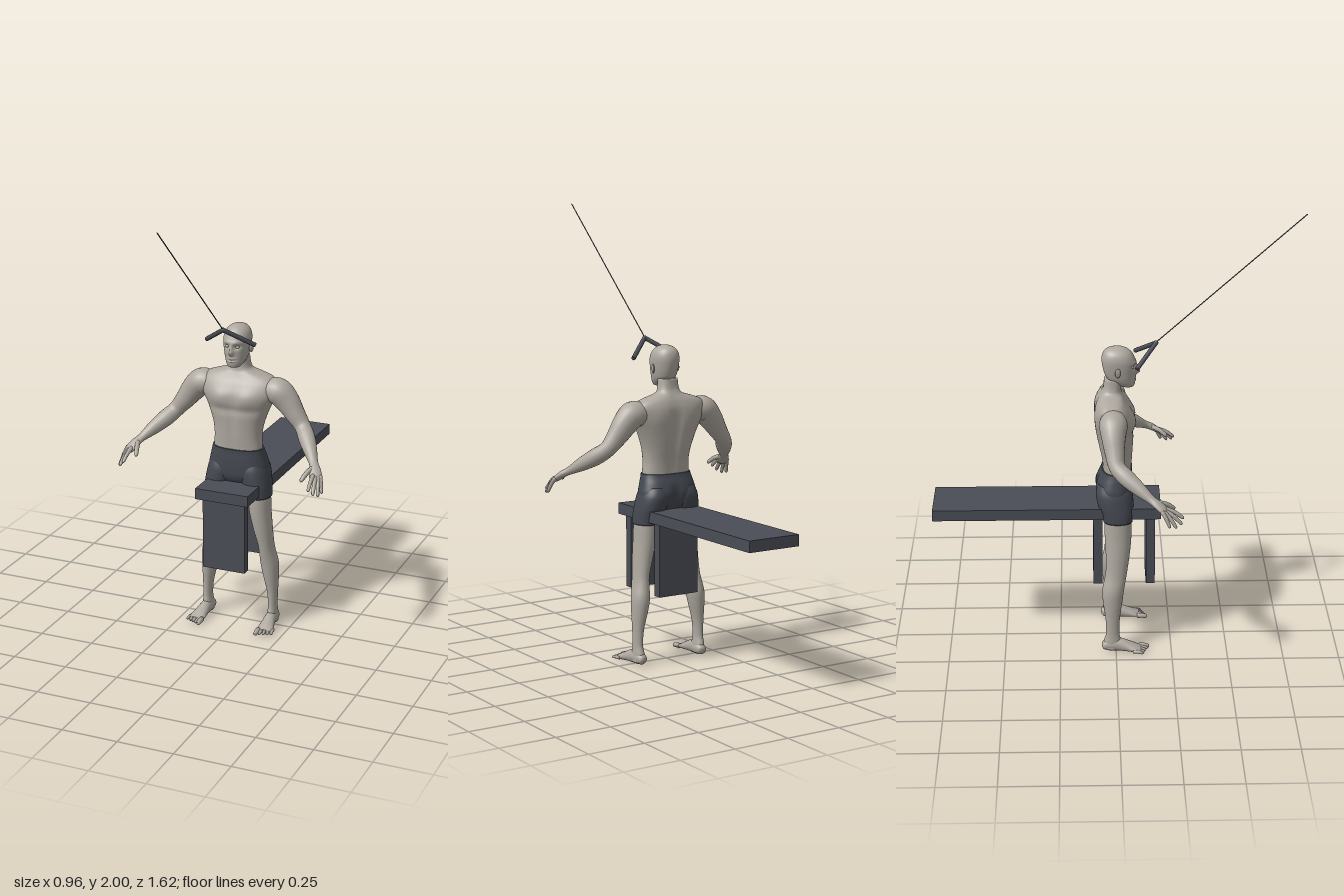
import * as THREE from 'three';

const mat = (name, color) => {
  const m = new THREE.MeshStandardMaterial({ color });
  m.name = name;
  return m;
};
const gauss = (d, w) => Math.exp(-(d * d) / (w * w));

// Smoothly resample rows of numbers, component by component
function resample(rows, steps) {
  const out = [];
  for (let i = 0; i < rows.length - 1; i++) {
    const [a, b, c, d] = [rows[Math.max(i - 1, 0)], rows[i], rows[i + 1], rows[Math.min(i + 2, rows.length - 1)]];
    for (let k = 0; k < steps; k++) {
      const t = k / steps;
      out.push(b.map((_, n) => 0.5 * (2 * b[n] + (c[n] - a[n]) * t
        + (2 * a[n] - 5 * b[n] + 4 * c[n] - d[n]) * t * t
        + (3 * b[n] - a[n] - 3 * c[n] + d[n]) * t * t * t)));
    }
  }
  out.push(rows[rows.length - 1].slice());
  return out;
}

// Closed skin over rings; side -1 mirrors in x, winding is turned outward
function loft(rings, side = 1) {
  const seg = rings[0].length, n = rings.length, pos = [], idx = [];
  const put = p => pos.push(p.x * side, p.y, p.z);
  rings.forEach(r => r.forEach(put));
  for (const r of [rings[0], rings[n - 1]])
    put(r.reduce((s, p) => s.add(p), new THREE.Vector3()).multiplyScalar(1 / seg));
  for (let j = 0; j < seg; j++) {
    const k = (j + 1) % seg;
    for (let i = 0; i < n - 1; i++) {
      const a = i * seg + j, b = i * seg + k;
      idx.push(a, a + seg, b, b, a + seg, b + seg);
    }
    idx.push(n * seg, j, k, n * seg + 1, (n - 1) * seg + k, (n - 1) * seg + j);
  }
  const v = i => new THREE.Vector3().fromArray(pos, i * 3);
  let vol = 0;
  for (let i = 0; i < idx.length; i += 3) vol += v(idx[i]).dot(v(idx[i + 1]).cross(v(idx[i + 2])));
  if (vol < 0) idx.reverse();
  const g = new THREE.BufferGeometry();
  g.setAttribute('position', new THREE.Float32BufferAttribute(pos, 3));
  g.setIndex(idx);
  g.computeVertexNormals();
  return g;
}

// Level rings: [y, centre x, half width, front z, back z], with an optional sculpting rule
function stack(rows, { side = 1, power = 2, seg = 32, steps = 5, sculpt } = {}) {
  const bend = c => Math.sign(c) * Math.abs(c) ** (2 / power);
  return loft(resample(rows, steps).map(([y, cx, w, f, b]) => Array.from({ length: seg }, (_, j) => {
    const a = j / seg * Math.PI * 2;
    const p = new THREE.Vector3(cx + w * bend(Math.cos(a)), y, (f + b) / 2 + (f - b) / 2 * bend(Math.sin(a)));
    if (sculpt) sculpt(p, Math.sin(a));
    return p;
  })), side);
}

// Rings square to a path: [x, y, z, radius across, radius up]
function limb(rows, side = 1, seg = 20, steps = 5) {
  const r = resample(rows, steps), at = i => new THREE.Vector3(...r[i].slice(0, 3));
  const up = new THREE.Vector3(0, 1, 0);
  return loft(r.map((row, i) => {
    const t = at(Math.min(i + 1, r.length - 1)).sub(at(Math.max(i - 1, 0))).normalize();
    const n = t.clone().cross(up).normalize(), b = n.clone().cross(t);
    return Array.from({ length: seg }, (_, j) => {
      const a = j / seg * Math.PI * 2;
      return at(i).addScaledVector(n, Math.cos(a) * row[3]).addScaledVector(b, Math.sin(a) * row[4]);
    });
  }), side);
}

// Finger or toe with a raised middle joint and a rounded tip
function digit(a, b, r, lift, side) {
  const p = (t, k, h) => [...a.map((v, i) => v + (b[i] - v) * t + (i === 1 ? h : 0)), r * k, r * k];
  return limb([p(0, 1.1, 0), p(0.5, 1, lift), p(0.88, 0.85, lift * 0.3), p(0.97, 0.55, 0), p(1, 0.1, 0)], side, 10, 3);
}

function rod(a, b, r) {
  const A = new THREE.Vector3(...a), B = new THREE.Vector3(...b), d = B.clone().sub(A);
  const g = new THREE.CylinderGeometry(r, r, d.length(), 12);
  g.applyQuaternion(new THREE.Quaternion().setFromUnitVectors(new THREE.Vector3(0, 1, 0), d.normalize()));
  return g.translate(...A.add(B).multiplyScalar(0.5).toArray());
}

export function createModel() {
  const root = new THREE.Group();
  root.name = 'athleteOnBench';
  const skin = mat('skin', 0xaea89f), cloth = mat('shorts', 0x43474f), frame = mat('bench', 0x4a4d56);
  const add = (name, geo, m = skin, parent = root) => {
    const mesh = new THREE.Mesh(geo, m);
    mesh.name = name;
    parent.add(mesh);
    return mesh;
  };
  const box = (name, w, h, d, y, z) => add(name, new THREE.BoxGeometry(w, h, d).translate(0, y, z), frame);

  // Bench
  box('benchBoard', 0.25, 0.05, 1.01, 0.665, -0.305);
  box('frontSupport', 0.2, 0.33, 0.04, 0.475, 0.155);
  box('backSupport', 0.2, 0.33, 0.04, 0.475, -0.08);

  // Pull bar and cable
  for (const s of [1, -1]) add('pullBarArm', rod([0, 1.426, 0.176], [s * 0.113, 1.348, 0.09], 0.01), frame);
  add('pullBarJoint', new THREE.SphereGeometry(0.0105, 16, 10).translate(0, 1.426, 0.176), frame);
  add('cable', rod([0, 1.43, 0.178], [0, 1.999, 0.81], 0.0025), frame);

  // Torso and neck, with chest, belly line, spine and shoulder blades
  add('torso', stack([
    [0.81, 0, 0.112, 0.068, -0.056], [0.85, 0, 0.111, 0.07, -0.056], [0.9, 0, 0.108, 0.074, -0.062],
    [0.95, 0, 0.114, 0.077, -0.073], [1.0, 0, 0.129, 0.08, -0.083], [1.05, 0, 0.15, 0.082, -0.09],
    [1.1, 0, 0.175, 0.078, -0.092], [1.14, 0, 0.18, 0.062, -0.09], [1.168, 0, 0.158, 0.045, -0.082],
    [1.186, 0, 0.11, 0.035, -0.073], [1.202, 0, 0.06, 0.028, -0.064], [1.225, 0, 0.047, 0.026, -0.054],
    [1.265, 0, 0.043, 0.032, -0.05]], {
    power: 2.4, seg: 56, sculpt: (p, s) => {
      const ax = Math.abs(p.x);
      if (s > 0) p.z += s * (0.012 * gauss(ax - 0.065, 0.05) * gauss(p.y - 1.085, 0.04)
        - 0.006 * gauss(ax, 0.014) * gauss(p.y - 1.0, 0.13) - 0.006 * gauss(p.y - 1.03, 0.018));
      else p.z -= s * (0.016 * gauss(ax, 0.022) * gauss(p.y - 1.02, 0.13)
        - 0.006 * gauss(ax - 0.09, 0.04) * gauss(p.y - 1.1, 0.05));
    } }));

  // Head, with brow, eye sockets, lips and chin
  add('head', stack([
    [1.226, 0, 0.012, 0.07, 0.045], [1.23, 0, 0.026, 0.08, 0.025], [1.245, 0, 0.038, 0.086, -0.005],
    [1.265, 0, 0.047, 0.086, -0.035], [1.29, 0, 0.053, 0.087, -0.048], [1.325, 0, 0.058, 0.089, -0.057],
    [1.355, 0, 0.059, 0.085, -0.06], [1.38, 0, 0.052, 0.073, -0.055], [1.397, 0, 0.038, 0.055, -0.042],
    [1.407, 0, 0.02, 0.035, -0.02], [1.41, 0, 0.003, 0.012, 0.006]], {
    power: 2.15, seg: 64, steps: 7, sculpt: (p, s) => {
      if (s <= 0) return;
      const ax = Math.abs(p.x);
      p.z += 0.005 * gauss(p.y - 1.342, 0.009) * gauss(ax - 0.02, 0.022)
        - 0.011 * gauss(p.y - 1.323, 0.01) * gauss(ax - 0.023, 0.014)
        + 0.019 * gauss(ax, 0.0085) * gauss(p.y - 1.296, 0.013) + 0.011 * gauss(ax, 0.007) * gauss(p.y - 1.318, 0.015)
        + 0.005 * gauss(ax, 0.018) * (gauss(p.y - 1.269, 0.005) + gauss(p.y - 1.258, 0.005))
        - 0.004 * gauss(p.y - 1.2635, 0.003) * gauss(ax, 0.02);
    } }));

  // Shorts around the hips, with a cleft behind
  add('shortsHips', stack([
    [0.67, 0, 0.05, 0.035, -0.035], [0.69, 0, 0.09, 0.06, -0.06], [0.72, 0, 0.133, 0.074, -0.077],
    [0.76, 0, 0.138, 0.077, -0.088], [0.8, 0, 0.129, 0.076, -0.079], [0.83, 0, 0.121, 0.074, -0.066],
    [0.847, 0, 0.117, 0.074, -0.06]], {
    power: 2.4, seg: 56, sculpt: (p, s) => {
      if (s < 0) p.z += 0.018 * gauss(p.x, 0.018) * gauss(p.y - 0.74, 0.05);
    } }), cloth);

  for (const s of [1, -1]) {
    const side = s > 0 ? 'left' : 'right';
    const limbs = new THREE.Group();
    limbs.name = side + 'Limbs';
    root.add(limbs);
    const part = (name, geo, m = skin) => add(side + name, geo, m, limbs);

    part('ShortsLeg', stack([
      [0.625, 0.1, 0.057, 0.075, -0.056], [0.66, 0.095, 0.06, 0.078, -0.064], [0.7, 0.084, 0.066, 0.079, -0.08],
      [0.75, 0.073, 0.067, 0.074, -0.088], [0.79, 0.064, 0.06, 0.06, -0.075]], { side: s, power: 2.2 }), cloth);

    part('Leg', stack([
      [0.012, 0.159, 0.024, 0.02, -0.056], [0.05, 0.159, 0.023, 0.022, -0.055], [0.09, 0.16, 0.02, 0.015, -0.045],
      [0.16, 0.158, 0.024, 0.017, -0.047], [0.24, 0.15, 0.035, 0.028, -0.058], [0.3, 0.144, 0.04, 0.036, -0.061],
      [0.36, 0.137, 0.035, 0.046, -0.05], [0.4, 0.132, 0.035, 0.052, -0.045], [0.47, 0.12, 0.042, 0.062, -0.045],
      [0.55, 0.108, 0.048, 0.069, -0.049], [0.64, 0.1, 0.051, 0.069, -0.052], [0.71, 0.085, 0.05, 0.06, -0.055]],
    { side: s }));

    // Foot and toes
    part('Foot', limb([
      [0.156, 0.024, -0.062, 0.008, 0.008], [0.157, 0.026, -0.054, 0.02, 0.021], [0.158, 0.032, -0.025, 0.025, 0.03],
      [0.16, 0.032, 0.015, 0.026, 0.031], [0.163, 0.024, 0.055, 0.031, 0.023], [0.167, 0.016, 0.09, 0.036, 0.015],
      [0.168, 0.012, 0.112, 0.033, 0.009]], s));
    for (let i = 0; i < 5; i++) {
      const x = 0.14 + i * 0.0145, tip = 0.15 - 0.007 * i;
      part('Toe', digit([x, 0.013, tip - 0.045], [x + 0.002 * i, 0.008, tip], i ? 0.0075 : 0.011, 0.003, s));
    }

    // Arm down to the palm
    part('Arm', limb([
      [0.12, 1.115, -0.012, 0.05, 0.045], [0.155, 1.118, -0.012, 0.059, 0.056], [0.188, 1.112, -0.012, 0.061, 0.06],
      [0.225, 1.074, -0.012, 0.052, 0.055], [0.262, 1.024, -0.008, 0.043, 0.045], [0.302, 0.974, 0.002, 0.036, 0.036],
      [0.337, 0.938, 0.042, 0.037, 0.037], [0.375, 0.902, 0.095, 0.029, 0.03], [0.408, 0.87, 0.143, 0.02, 0.018],
      [0.424, 0.854, 0.17, 0.025, 0.016], [0.437, 0.835, 0.195, 0.028, 0.014], [0.444, 0.822, 0.208, 0.024, 0.009]], s));
    const fingers = [
      [[0.455, 0.836, 0.187], [0.476, 0.768, 0.222]], [[0.449, 0.832, 0.196], [0.469, 0.763, 0.25]],
      [[0.44, 0.832, 0.202], [0.455, 0.774, 0.274]], [[0.429, 0.838, 0.203], [0.436, 0.793, 0.282]],
      [[0.414, 0.858, 0.172], [0.388, 0.818, 0.246]]];
    fingers.forEach(([a, b], i) => part(i < 4 ? 'Finger' : 'Thumb', digit(a, b, i < 4 ? 0.0088 : 0.0105, 0.007, s)));

    // Ear and eyelid
    part('Ear', new THREE.SphereGeometry(1, 16, 12).scale(0.006, 0.021, 0.013)
      .rotateY(s * -0.35).translate(s * 0.062, 1.308, 0.01));
    part('Eyelid', new THREE.SphereGeometry(1, 16, 12).scale(0.011, 0.006, 0.007).translate(s * 0.023, 1.322, 0.074));
  }
  return root;
}
